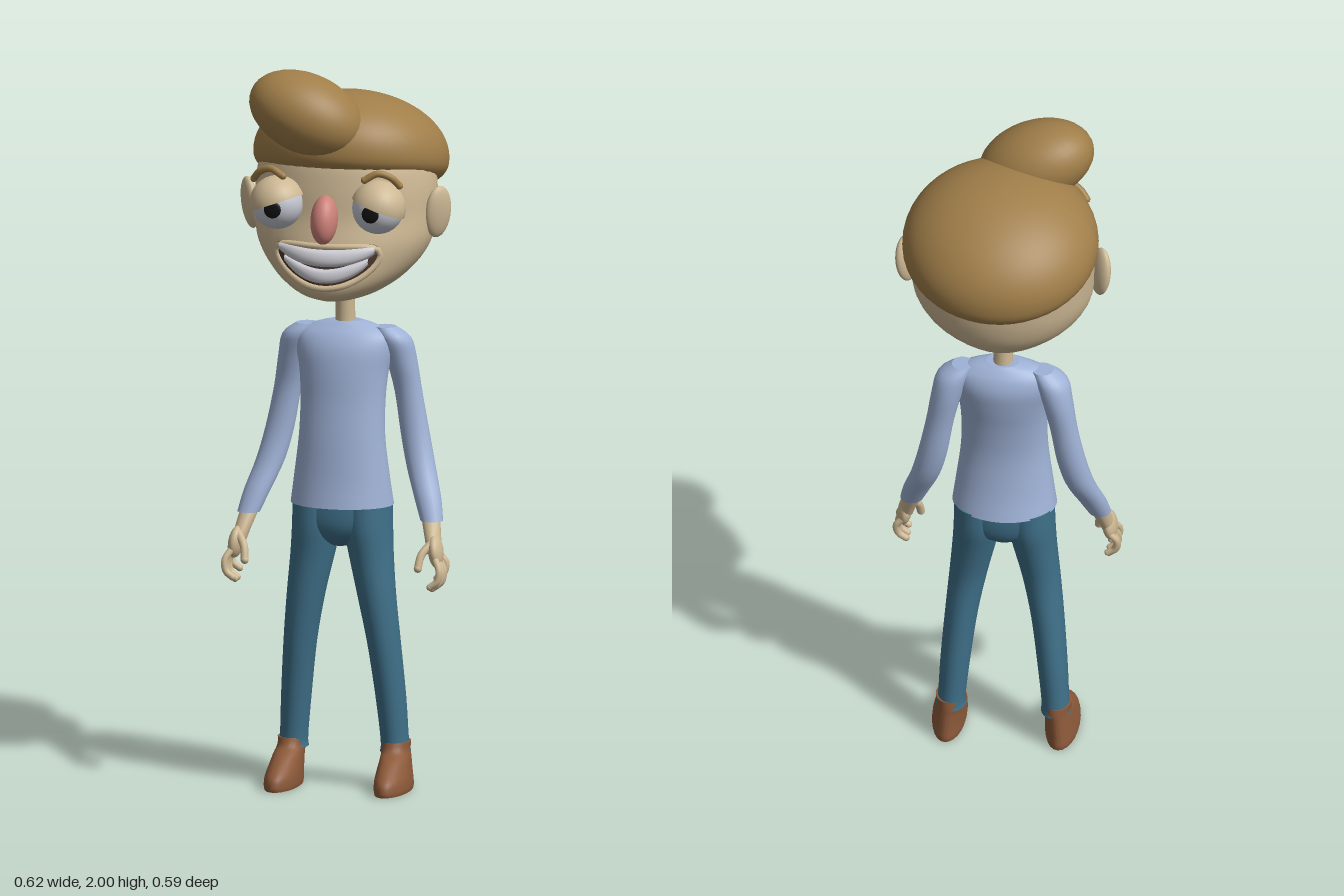
import * as THREE from 'three';

const mat = (color, side = THREE.FrontSide) => new THREE.MeshStandardMaterial({ color, side });
const SKIN = mat(0xcdb894), HAIR = mat(0xa07e49), SHIRT = mat(0x9fb2d6), PANTS = mat(0x3f7089);
const SHOE = mat(0x8d5a3a), TEETH = mat(0xcfcfd6), DARK = mat(0x4a352c), PUPIL = mat(0x111111);
const NOSE = mat(0xcc8078), LID = mat(0xcdb894, THREE.DoubleSide), IRIS = mat(0xc6c8d2);
const V = (x, y, z) => new THREE.Vector3(x, y, z);

function add(parent, name, geometry, material) {
  const mesh = new THREE.Mesh(geometry, material);
  mesh.name = name;
  parent.add(mesh);
  return mesh;
}

// Horizontal elliptical rings [cx, y, cz, rx, rz], bottom to top, smoothed and capped
function loft(rings, sides = 28, steps = 4) {
  const smooth = [];
  for (let i = 0; i < rings.length - 1; i++) {
    const p = [rings[Math.max(i - 1, 0)], rings[i], rings[i + 1], rings[Math.min(i + 2, rings.length - 1)]];
    for (let k = 0; k < steps; k++) {
      const t = k / steps;
      smooth.push(p[1].map((b, c) => {
        const m0 = (p[2][c] - p[0][c]) / 2, m1 = (p[3][c] - b) / 2, d = p[2][c];
        return b + m0 * t + (3 * (d - b) - 2 * m0 - m1) * t * t + (2 * (b - d) + m0 + m1) * t * t * t;
      }));
    }
  }
  smooth.push(rings[rings.length - 1]);
  const pos = [], index = [];
  const ring = ([cx, y, cz, rx, rz]) => {
    for (let j = 0; j < sides; j++) {
      const a = (j / sides) * Math.PI * 2;
      pos.push(cx + rx * Math.cos(a), y, cz + rz * Math.sin(a));
    }
  };
  smooth.forEach(ring);
  for (let i = 0; i < smooth.length - 1; i++) for (let j = 0; j < sides; j++) {
    const a = i * sides + j, b = i * sides + (j + 1) % sides;
    index.push(a, a + sides, b, b, a + sides, b + sides);
  }
  [smooth[0], smooth[smooth.length - 1]].forEach((r, top) => {
    const s = pos.length / 3;
    ring(r);
    pos.push(r[0], r[1], r[2]);
    for (let j = 0; j < sides; j++) {
      const a = s + j, b = s + (j + 1) % sides;
      index.push(s + sides, top ? b : a, top ? a : b);
    }
  });
  const g = new THREE.BufferGeometry();
  g.setAttribute('position', new THREE.Float32BufferAttribute(pos, 3));
  g.setIndex(index);
  g.computeVertexNormals();
  return g;
}

function ellipsoid(parent, name, material, p, r, rot = [0, 0, 0]) {
  const m = add(parent, name, new THREE.SphereGeometry(1, 32, 20), material);
  m.position.set(...p);
  m.scale.set(...r);
  m.rotation.set(...rot);
  return m;
}

// Round rod along points, with ball ends
function rod(parent, name, material, pts, r, closed = false) {
  const curve = new THREE.CatmullRomCurve3(pts, closed);
  add(parent, name, new THREE.TubeGeometry(curve, closed ? 48 : 10, r, 10, closed), material);
  if (!closed) [pts[0], pts[pts.length - 1]].forEach(p => ellipsoid(parent, name + 'End', material, p.toArray(), [r, r, r]));
}

// Head profile, from chin to crown
const HEAD = [
  [0, 1.368, 0.09, 0.06, 0.10], [0, 1.385, 0.08, 0.11, 0.155], [0, 1.42, 0.063, 0.165, 0.187],
  [0, 1.47, 0.04, 0.213, 0.205], [0, 1.53, 0.025, 0.243, 0.21], [0, 1.60, 0.012, 0.25, 0.205],
  [0, 1.68, 0.005, 0.25, 0.203], [0, 1.76, 0, 0.23, 0.19], [0, 1.83, 0, 0.17, 0.14], [0, 1.87, 0, 0.06, 0.05],
];
function faceZ(x, y) {
  const i = Math.max(1, HEAD.findIndex(r => r[1] >= y)), a = HEAD[i - 1], b = HEAD[i];
  const t = (y - a[1]) / (b[1] - a[1]), at = c => a[c] + (b[c] - a[c]) * t;
  return at(2) + at(4) * Math.sqrt(Math.max(0, 1 - (x / at(3)) ** 2));
}

// Curved strip that hugs the face
function faceStrip(halfWidth, midY, halfHeight, lift, bulge) {
  const g = new THREE.PlaneGeometry(2, 2, 28, 8), p = g.attributes.position;
  for (let i = 0; i < p.count; i++) {
    const u = p.getX(i), v = p.getY(i), x = u * halfWidth;
    const y = midY(u) + v * halfHeight * Math.sqrt(1 - 0.8 * u ** 4);
    p.setXYZ(i, x, y, faceZ(x, y) + lift + bulge * Math.sqrt(1 - v * v));
  }
  g.computeVertexNormals();
  return g;
}

function buildHead() {
  const head = new THREE.Group();
  head.name = 'head';
  add(head, 'skull', loft(HEAD, 40), SKIN);

  // Hair cap: tilted ellipsoid with a flatter underside that drops at the back
  const g = new THREE.SphereGeometry(1, 48, 32), p = g.attributes.position;
  for (let i = 0; i < p.count; i++) {
    const y = p.getY(i), z = -0.043 + p.getZ(i) * 0.255;
    const drop = y > 0 ? 0.18 * y : -(0.1 - 0.14 * Math.min(z, 0.1)) * Math.pow(-y, 0.8);
    p.setXYZ(i, p.getX(i) * 0.268, 1.742 + 0.16 * z + drop, z);
  }
  g.computeVertexNormals();
  add(head, 'hair', g, HAIR);
  ellipsoid(head, 'quiff', HAIR, [-0.075, 1.878, 0.15], [0.165, 0.108, 0.12], [0.1, 0, -0.4]);

  ellipsoid(head, 'nose', NOSE, [0, 1.605, 0.245], [0.037, 0.068, 0.045], [-0.3, 0, 0]);

  // Grin
  const smile = u => 1.472 + 0.035 * u * u;
  add(head, 'mouth', faceStrip(0.14, smile, 0.052, 0.003, 0.004), DARK);
  add(head, 'upperTeeth', faceStrip(0.135, u => 1.499 + 0.022 * u * u, 0.024, 0.006, 0.014), TEETH);
  add(head, 'lowerTeeth', faceStrip(0.118, u => 1.45 + 0.04 * u * u, 0.02, 0.006, 0.01), TEETH);
  const lips = [];
  for (let i = 0; i < 20; i++) {
    const a = (i / 20) * Math.PI * 2, x = 0.145 * Math.cos(a);
    const y = smile(Math.cos(a)) + 0.057 * Math.sin(a);
    lips.push(V(x, y, faceZ(x, y) + 0.004));
  }
  rod(head, 'lips', SKIN, lips, 0.009, true);

  for (const s of [1, -1]) {
    const side = s > 0 ? 'left' : 'right';
    // Bulging eye with drooping lid
    const eye = new THREE.Group();
    eye.name = side + 'Eye';
    eye.position.set(s * 0.142, 1.638, 0.206);
    ellipsoid(eye, 'eyeball', IRIS, [0, 0, 0], [0.071, 0.071, 0.071]);
    ellipsoid(eye, 'pupil', PUPIL, [-s * 0.004, -0.006, 0.069], [0.024, 0.024, 0.006]);
    const lid = add(eye, 'eyelid', new THREE.SphereGeometry(0.076, 28, 14, 0, Math.PI * 2, 0, Math.PI / 2), LID);
    lid.rotation.set(-0.1, 0, -s * 0.35);
    head.add(eye);
    rod(head, side + 'Brow', HAIR, [V(s * 0.115, 1.722, 0.25), V(s * 0.15, 1.74, 0.243), V(s * 0.185, 1.728, 0.23), V(s * 0.205, 1.705, 0.218)], 0.01);
    ellipsoid(head, side + 'Ear', SKIN, [s * 0.265, 1.602, 0.035], [0.02, 0.073, 0.042], [0, -s * 0.65, -s * 0.12]);
  }
  return head;
}

function buildArm(s) {
  const arm = new THREE.Group();
  arm.name = s > 0 ? 'leftArm' : 'rightArm';
  const mirror = rings => rings.map(([x, ...rest]) => [s * x, ...rest]);
  add(arm, 'sleeve', loft(mirror([
    [0.258, 0.752, 0.075, 0.031, 0.029], [0.24, 0.81, 0.05, 0.037, 0.033], [0.212, 0.89, 0.015, 0.04, 0.036],
    [0.19, 0.98, -0.004, 0.04, 0.034], [0.17, 1.09, -0.01, 0.038, 0.034], [0.152, 1.18, -0.005, 0.042, 0.045],
    [0.135, 1.24, 0.005, 0.045, 0.048], [0.11, 1.272, 0.01, 0.03, 0.03]]), 20), SHIRT);
  add(arm, 'wrist', loft(mirror([
    [0.278, 0.67, 0.118, 0.02, 0.03], [0.268, 0.71, 0.1, 0.022, 0.03], [0.255, 0.76, 0.073, 0.026, 0.025]]), 16), SKIN);
  ellipsoid(arm, 'palm', SKIN, [s * 0.281, 0.675, 0.118], [0.02, 0.046, 0.04], [-0.4, 0, s * 0.15]);
  for (let i = 0; i < 4; i++) {
    const z = 0.09 + i * 0.019, f = i === 0 ? 0.02 : i === 3 ? 0.008 : 0;
    rod(arm, 'finger', SKIN, [V(s * 0.286, 0.66, z), V(s * 0.302, 0.622 + f, z + 0.006 * i), V(s * 0.297, 0.592 + f, z + 0.006 * i + 0.004), V(s * 0.278, 0.577 + f, z + 0.006 * i + 0.005)], 0.0095);
  }
  rod(arm, 'thumb', SKIN, [V(s * 0.272, 0.7, 0.13), V(s * 0.25, 0.67, 0.155), V(s * 0.244, 0.635, 0.17)], 0.011);
  return arm;
}

function buildLeg(s) {
  const leg = new THREE.Group();
  leg.name = s > 0 ? 'leftLeg' : 'rightLeg';
  const mirror = rings => rings.map(([x, ...rest]) => [s * x, ...rest]);
  add(leg, 'trouserLeg', loft(mirror([
    [0.144, 0.1, 0.03, 0.042, 0.052], [0.142, 0.13, 0.03, 0.038, 0.048], [0.133, 0.25, 0.038, 0.041, 0.054],
    [0.118, 0.4, 0.053, 0.045, 0.06], [0.1, 0.53, 0.061, 0.052, 0.063], [0.083, 0.64, 0.055, 0.06, 0.074],
    [0.073, 0.72, 0.05, 0.066, 0.086], [0.07, 0.79, 0.048, 0.068, 0.085]]), 24), PANTS);
  add(leg, 'shoe', loft(mirror([
    [0.155, 0, 0.09, 0.045, 0.118], [0.155, 0.012, 0.09, 0.047, 0.12], [0.154, 0.035, 0.087, 0.046, 0.115],
    [0.152, 0.06, 0.072, 0.043, 0.098], [0.15, 0.085, 0.053, 0.04, 0.077], [0.147, 0.105, 0.035, 0.038, 0.058],
    [0.146, 0.128, 0.03, 0.04, 0.05]]), 24), SHOE);
  return leg;
}

export function createModel() {
  const model = new THREE.Group();
  model.name = 'character';
  model.add(buildHead());
  add(model, 'neck', loft([[0, 1.24, 0.018, 0.032, 0.034], [0, 1.3, 0.02, 0.027, 0.029], [0, 1.42, 0.025, 0.027, 0.029]], 16), SKIN);

  // Sweater body
  add(model, 'sweater', loft([
    [0, 0.785, 0.052, 0.143, 0.107], [0, 0.86, 0.055, 0.133, 0.092], [0, 0.97, 0.055, 0.12, 0.08],
    [0, 1.07, 0.045, 0.118, 0.077], [0, 1.15, 0.034, 0.124, 0.08], [0, 1.21, 0.025, 0.135, 0.078],
    [0, 1.25, 0.02, 0.13, 0.064], [0, 1.275, 0.017, 0.09, 0.045], [0, 1.287, 0.017, 0.045, 0.034]], 36), SHIRT);

  // Hips
  add(model, 'hips', loft([
    [0, 0.672, 0.05, 0.03, 0.045], [0, 0.7, 0.05, 0.1, 0.075], [0, 0.74, 0.05, 0.133, 0.088], [0, 0.8, 0.048, 0.136, 0.088]], 32), PANTS);

  for (const s of [1, -1]) model.add(buildArm(s), buildLeg(s));
  return model;
}
